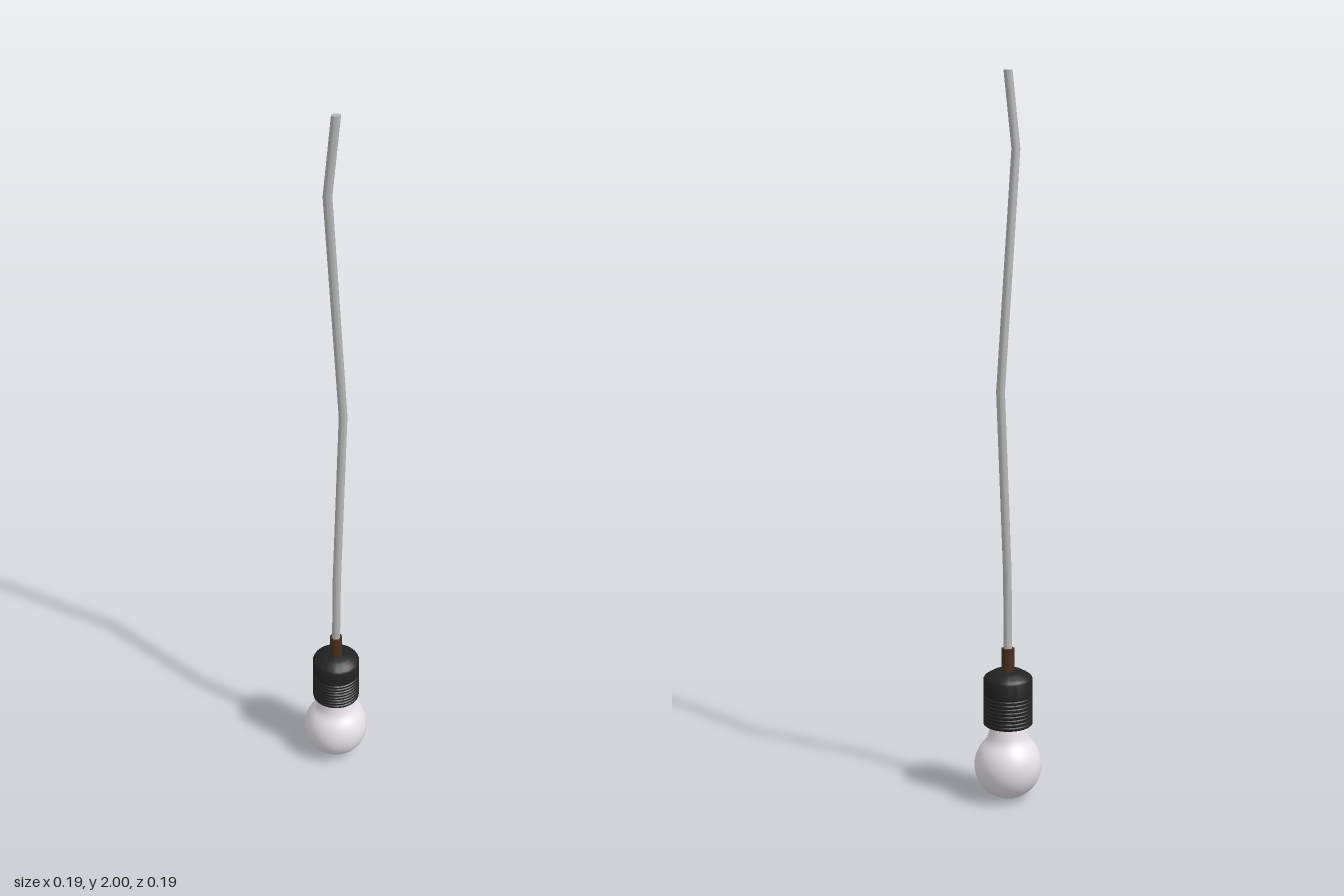
import * as THREE from 'three';
import { toCreasedNormals } from 'three/addons/utils/BufferGeometryUtils.js';

const mat = (color) => new THREE.MeshStandardMaterial({ color });

// Surface of revolution from [radius, y] pairs, listed bottom to top
function lathe(name, profile, color, crease) {
  let geo = new THREE.LatheGeometry(profile.map(([r, y]) => new THREE.Vector2(r, y)), 48);
  if (crease) geo = toCreasedNormals(geo, 0.5);
  const mesh = new THREE.Mesh(geo, mat(color));
  mesh.name = name;
  return mesh;
}

export function createModel() {
  const group = new THREE.Group();
  group.name = 'hangingBulb';

  // Glass bulb: sphere flowing into a narrow neck
  const R = 0.095;
  const bulb = [];
  for (let i = 0; i <= 22; i++) {
    const a = (i / 22) * 2.36;
    bulb.push([R * Math.sin(a), R - R * Math.cos(a)]);
  }
  bulb.push([0.06, 0.172], [0.056, 0.183], [0.053, 0.195], [0.05, 0.208], [0.046, 0.222], [0.04, 0.235]);
  group.add(lathe('bulb', bulb, 0xe6e1e6, false));

  // Lower socket ring with fine horizontal ribs
  const ribs = 8, y0 = 0.215, y1 = 0.3, step = (y1 - y0) / ribs;
  const ring = [[0, 0.225], [0.055, 0.225], [0.058, y0]];
  for (let i = 0; i < ribs; i++) {
    const y = y0 + i * step;
    ring.push([0.066, y], [0.069, y + step * 0.25], [0.069, y + step * 0.75], [0.066, y + step]);
  }
  ring.push([0, y1]);
  group.add(lathe('socketRing', ring, 0x222222, true));

  // Upper socket cap with a sloped shoulder
  group.add(lathe('socketCap', [
    [0, 0.301], [0.067, 0.301], [0.069, 0.304], [0.069, 0.347], [0.066, 0.353],
    [0.058, 0.359], [0.046, 0.366], [0.038, 0.37], [0, 0.371],
  ], 0x222222, true));

  // Cord grip
  const grip = new THREE.Mesh(new THREE.CylinderGeometry(0.018, 0.018, 0.07, 24), mat(0x4a3022));
  grip.position.y = 0.4;
  grip.name = 'cordGrip';
  group.add(grip);

  // Kinked cord: each ring of a cylinder is moved to a point of the path, top first
  const path = [
    [0, 2, 0], [-0.021, 1.8, 0], [0.026, 1.16, -0.036], [0, 0.65, 0.012], [0, 0.4, 0],
  ];
  const n = path.length - 1;
  const geo = new THREE.CylinderGeometry(0.012, 0.012, 1, 16, n);
  const pos = geo.attributes.position;
  for (let i = 0; i < pos.count; i++) {
    const [x, y, z] = path[Math.round((0.5 - pos.getY(i)) * n)];
    pos.setXYZ(i, pos.getX(i) + x, y, pos.getZ(i) + z);
  }
  geo.computeVertexNormals();
  const cord = new THREE.Mesh(toCreasedNormals(geo, 0.6), mat(0xb8b8b8));
  cord.name = 'cord';
  group.add(cord);

  return group;
}
